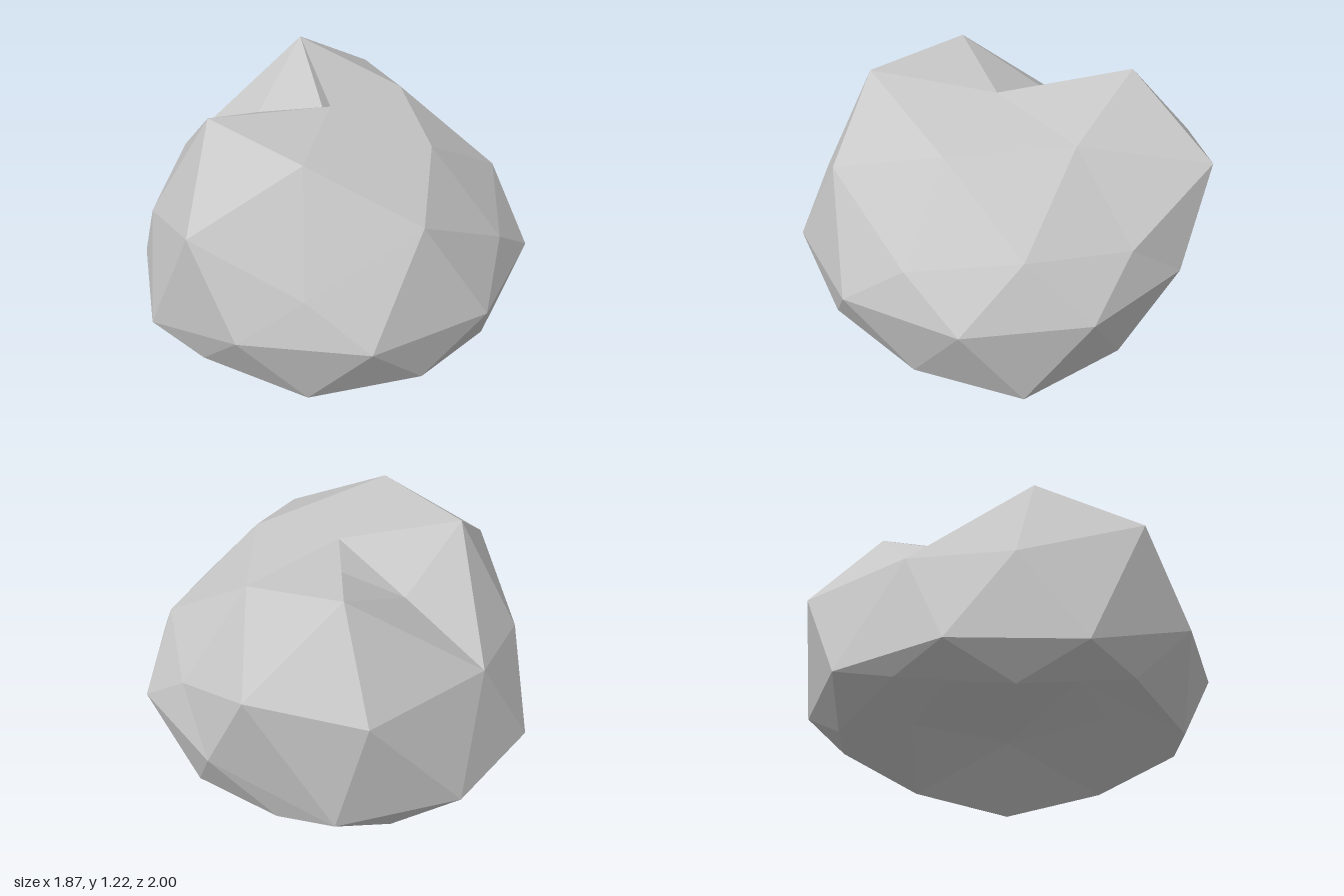
import * as THREE from 'three';

const SIZE = 0.984;
const OFFSET_Z = 0.0125;

// Ring of points evenly spaced around the y axis; shifts push single points along z
function ring(heights, radius, startDeg, shifts = {}) {
  const n = heights.length;
  return heights.map((y, i) => {
    const t = THREE.MathUtils.degToRad(startDeg + (360 / n) * i);
    const r = SIZE * radius(i);
    return [r * Math.cos(t), y, r * Math.sin(t) + OFFSET_Z + (shifts[i] || 0)];
  });
}

function rockGeometry() {
  const front = 0.12, back = -0.217;

  // Rings of a faceted sphere from crown to hollow underside
  const top = [0, 1.15, OFFSET_Z];
  const crown = ring([1.06, 1.2, 1.2, 1.215, 1.065], () => 0.526, 0, { 1: front, 2: front, 3: back });
  const upper = ring(
    [0.66, 0.955, 0.66, 0.885, 0.67, 0.74, 0.8, 0.9, 0.67, 0.74],
    (i) => (i % 2 ? 0.85 : 0.894), 0, { 3: front, 6: back, 7: back });
  const middle = ring(
    [0.44, 0.44, 0.44, 0.225, 0.225, 0.225, 0.225, 0.44, 0.44, 0.44], () => 1, 18);
  const lower = ring(
    [0.065, 0.145, 0.065, 0.145, 0.065, 0.145, 0.065, 0.145, 0.065, 0],
    (i) => (i % 2 ? 0.894 : 0.85), 0);
  const base = ring([0.305, 0.265, 0.245, 0.265, 0.295], () => 0.526, 36);
  const bottom = [0, 0.125, OFFSET_Z];

  // Valley of the chip in the crown, from its outer edge to below the top point
  const notchOuter = [-0.42, 1.0, -0.035];
  const notchInner = [0, 0.98, 0];

  const points = [];
  const tri = (a, b, c) => points.push(...a, ...b, ...c);
  const at = (list, i) => list[(i + list.length) % list.length];

  for (let k = 0; k < 5; k++) {
    const a = crown[k], b = at(crown, k + 1), low = at(upper, 2 * k + 1);
    // Crown, with the chip cut into one facet
    if (k === 2) {
      tri(top, notchOuter, a);
      tri(top, notchInner, notchOuter);
      tri(top, b, notchInner);
      tri(notchInner, b, notchOuter);
      tri(a, notchOuter, low);
      tri(notchOuter, b, low);
    } else {
      tri(top, b, a);
      tri(a, b, low);
    }
    tri(a, low, upper[2 * k]);
    tri(a, upper[2 * k], at(upper, 2 * k - 1));

    // Underside
    const m = base[k], n = at(base, k + 1), end = at(lower, 2 * k + 2);
    tri(lower[2 * k], lower[2 * k + 1], m);
    tri(lower[2 * k + 1], end, m);
    tri(m, end, n);
    tri(m, n, bottom);
  }

  // Side bands
  for (let j = 0; j < 10; j++) {
    const m = middle[j], prev = at(middle, j - 1);
    tri(upper[j], at(upper, j + 1), m);
    tri(upper[j], m, prev);
    tri(m, at(lower, j + 1), lower[j]);
    tri(prev, m, lower[j]);
  }

  const geometry = new THREE.BufferGeometry();
  geometry.setAttribute('position', new THREE.Float32BufferAttribute(points, 3));
  geometry.computeVertexNormals();
  return geometry;
}

export function createModel() {
  const stone = new THREE.MeshStandardMaterial({ color: 0xc8c8c8, flatShading: true });
  stone.name = 'stone grey';

  const rock = new THREE.Mesh(rockGeometry(), stone);
  rock.name = 'rock';

  const model = new THREE.Group();
  model.name = 'boulder';
  model.add(rock);
  return model;
}
